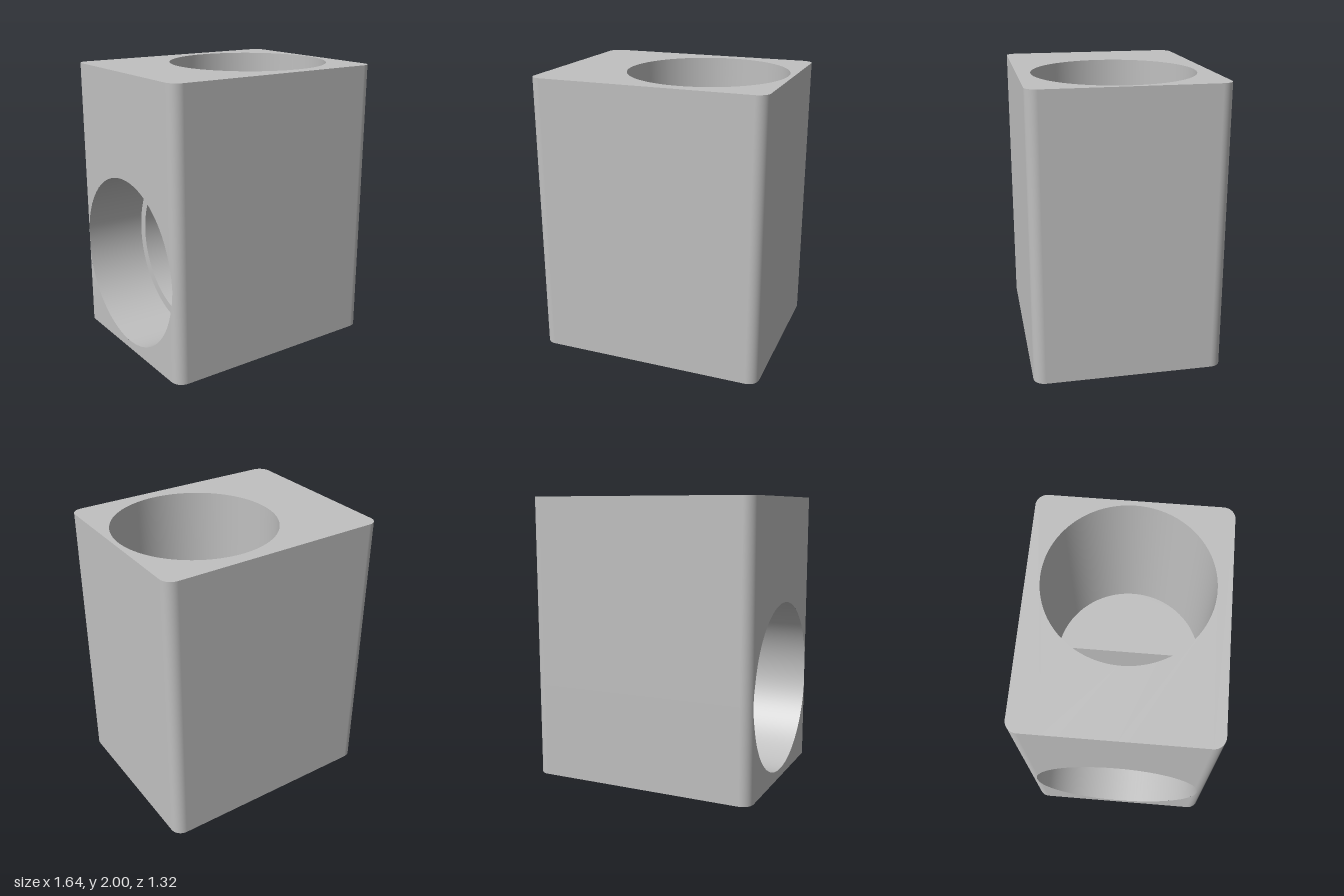
import * as THREE from 'three';

// Block
const HX = 0.82, HZ = 0.66, H = 2, CORNER = 0.08;
// Vertical pocket from the top
const PX = 0.22, PR = 0.565;
// Stepped horizontal bore from the -x side, at the height of the pocket floor
const BY = 0.665, R1 = 0.605, STEP = -0.37, R2 = 0.54, END = 0.265;

const root = (r, d) => Math.sqrt(Math.max(0, r * r - d * d));

// Ruled surface: rule(i) gives [pointA, pointB, normal]; winding follows the normal
function ribbon(n, rule) {
  const pos = [], nor = [], idx = [];
  const v = (p) => new THREE.Vector3(...p);
  const rows = Array.from({ length: n + 1 }, (_, i) => rule(i));
  for (const [a, b, m] of rows) {
    pos.push(...a, ...b);
    nor.push(...m, ...m);
  }
  for (let i = 0; i < n; i++) {
    const [a, b, m] = rows[i], [c, d, m2] = rows[i + 1];
    const face = v(d).sub(v(a)).cross(v(b).sub(v(c)));
    const k = i * 2;
    if (face.dot(v(m).add(v(m2))) > 0) idx.push(k, k + 2, k + 3, k, k + 3, k + 1);
    else idx.push(k, k + 3, k + 2, k, k + 1, k + 3);
  }
  const g = new THREE.BufferGeometry();
  g.setAttribute('position', new THREE.Float32BufferAttribute(pos, 3));
  g.setAttribute('normal', new THREE.Float32BufferAttribute(nor, 3));
  g.setIndex(idx);
  return g;
}

// Rounded outline as [x, z, nx, nz], with extra columns on the bored side
function outline() {
  const pts = [], steps = 24;
  const signs = [[1, 1], [-1, 1], [-1, -1], [1, -1]];
  signs.forEach(([sx, sz], k) => {
    for (let i = 0; i <= steps; i++) {
      const a = (k + i / steps) * Math.PI / 2, c = Math.cos(a), s = Math.sin(a);
      pts.push([sx * (HX - CORNER) + CORNER * c, sz * (HZ - CORNER) + CORNER * s, c, s]);
    }
    if (k === 1) {
      for (let i = 1; i < 96; i++) {
        const z = R1 * Math.cos(i / 96 * Math.PI);
        if (Math.abs(z) < HZ - CORNER) pts.push([-HX, z, -1, 0]);
      }
    }
  });
  pts.push(pts[0]);
  return pts;
}

export function createModel() {
  const group = new THREE.Group();
  group.name = 'boredBlock';
  const grey = new THREE.MeshStandardMaterial({ color: 0xc0c0c0 });
  grey.name = 'grey';
  const add = (name, geometry) => {
    const mesh = new THREE.Mesh(geometry, grey);
    mesh.name = name;
    group.add(mesh);
  };

  // Outer walls, below and above the round side opening
  const pts = outline();
  const gap = ([x, z]) => (x < 0 ? root(R1, z) : 0);
  add('lowerWalls', ribbon(pts.length - 1, (i) => {
    const p = pts[i], [x, z, nx, nz] = p;
    return [[x, 0, z], [x, BY - gap(p), z], [nx, 0, nz]];
  }));
  add('upperWalls', ribbon(pts.length - 1, (i) => {
    const p = pts[i], [x, z, nx, nz] = p;
    return [[x, BY + gap(p), z], [x, H, z], [nx, 0, nz]];
  }));

  // Top and bottom faces
  const plate = () => new THREE.Shape(pts.slice(0, -1).map(([x, z]) => new THREE.Vector2(x, z)));
  const top = plate();
  top.holes.push(new THREE.Path().absarc(PX, 0, PR, 0, Math.PI * 2, true));
  add('topFace', new THREE.ShapeGeometry(top, 96).rotateX(-Math.PI / 2).translate(0, H, 0));
  add('bottomFace', new THREE.ShapeGeometry(plate()).rotateX(Math.PI / 2));

  // Pocket wall, cut where the bore breaks through
  add('pocketWall', ribbon(192, (i) => {
    const a = i / 192 * Math.PI * 2, c = Math.cos(a), s = Math.sin(a);
    const x = PX + PR * c, z = PR * s;
    const low = c < 0 ? BY + root(R2, z) : BY;
    return [[x, low, z], [x, H, z], [-c, 0, -s]];
  }));

  // Pocket floor around the open half of the bore
  const a = Math.PI - Math.asin(R2 / PR);
  const floor = new THREE.Shape();
  floor.moveTo(END, R2);
  floor.lineTo(END, -R2);
  floor.absarc(PX, 0, PR, -a, a, false);
  floor.closePath();
  add('pocketFloor', new THREE.ShapeGeometry(floor, 96).rotateX(-Math.PI / 2).translate(0, BY, 0));

  // Wide mouth of the bore, following the rounded corners at its rim
  add('boreMouth', ribbon(128, (i) => {
    const t = i / 128 * Math.PI * 2, c = Math.cos(t), s = Math.sin(t);
    const over = Math.max(0, Math.abs(R1 * c) - (HZ - CORNER));
    const rim = -(HX - CORNER) - root(CORNER, over);
    return [[rim, BY + R1 * s, R1 * c], [STEP, BY + R1 * s, R1 * c], [0, -s, -c]];
  }));
  add('boreStep', new THREE.RingGeometry(R2, R1, 128).rotateY(-Math.PI / 2).translate(STEP, BY, 0));

  // Narrow bore: upper half stops at the pocket, lower half runs on to the end wall
  for (const [name, side] of [['upperBore', 1], ['lowerBore', -1]]) {
    add(name, ribbon(64, (i) => {
      const t = i / 64 * Math.PI, c = Math.cos(t), s = side * Math.sin(t);
      const end = side > 0 ? PX - root(PR, R2 * c) : END;
      return [[STEP, BY + R2 * s, R2 * c], [end, BY + R2 * s, R2 * c], [0, -s, -c]];
    }));
  }
  add('boreEnd', new THREE.CircleGeometry(R2, 64, Math.PI, Math.PI)
    .rotateY(-Math.PI / 2).translate(END, BY, 0));

  return group;
}
